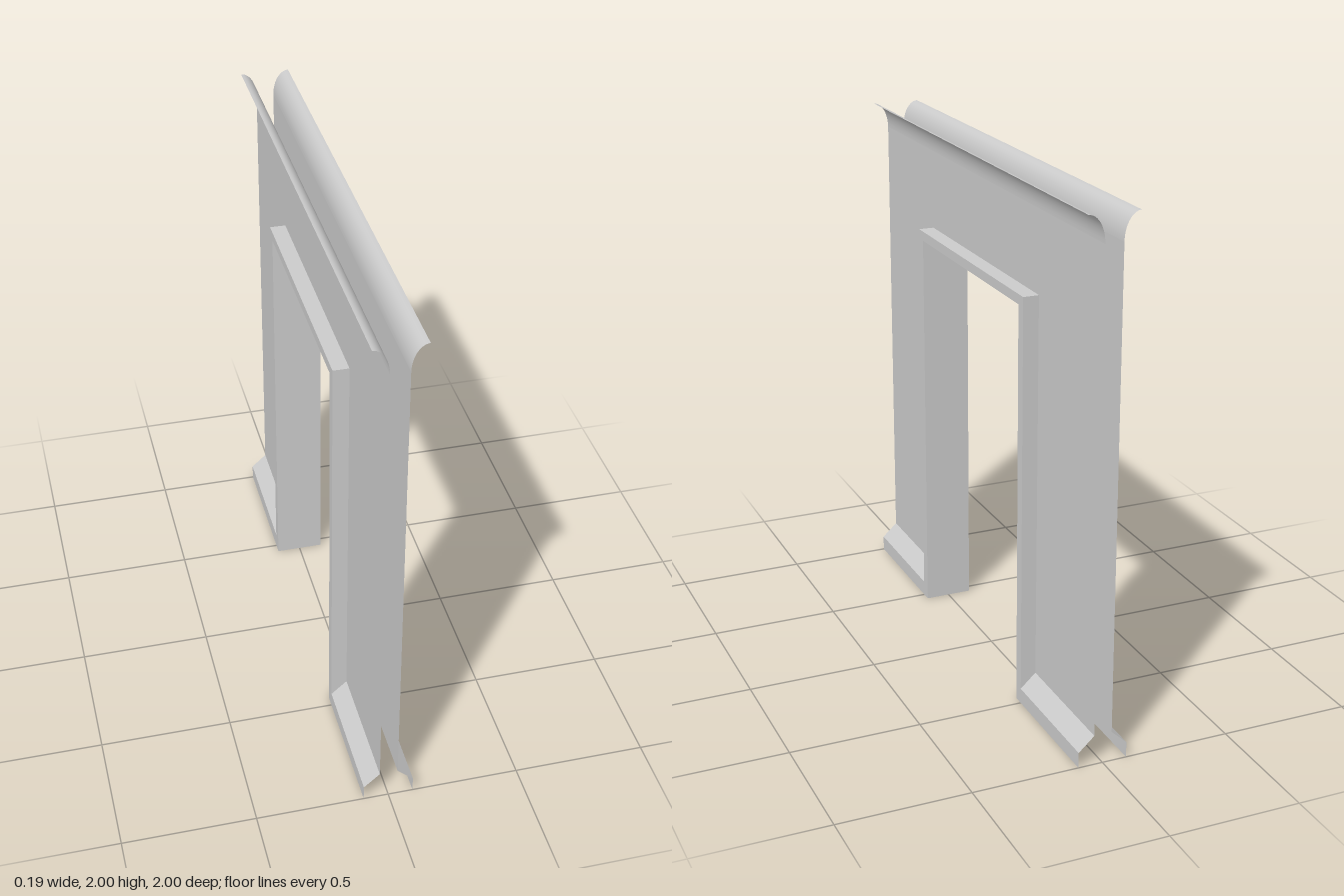
import * as THREE from 'three';

const IN = 0.034, OUT = 0.094;          // x of wall sheet and of trim face
const OPEN_Z = 0.46, OPEN_Y = 1.555;    // clear opening
const FRAME_Z = 0.5, FRAME_Y = 1.592;   // outer edge of door frame
const SKIRT_LOW = 0.06, SKIRT_TOP = 0.115, LIP_Y = 1.9;

const material = new THREE.MeshStandardMaterial({ color: 0xcccccc, side: THREE.DoubleSide });

function mesh(name, geometry) {
  const m = new THREE.Mesh(geometry, material);
  m.name = name;
  return m;
}

// Surface between two rows of [x, y, z] points; smooth or creased at each point
function ribbon(a, b, smooth = false) {
  const index = [];
  const n = a.length;
  for (let i = 0; i < n - 1; i++) index.push(i, i + 1, n + i + 1, i, n + i + 1, n + i);
  let g = new THREE.BufferGeometry();
  g.setAttribute('position', new THREE.Float32BufferAttribute([...a, ...b].flat(), 3));
  g.setIndex(index);
  if (!smooth) g = g.toNonIndexed();
  g.computeVertexNormals();
  return g;
}

// Flat sheet from [z, y] corners, facing +x at the given x
function sheet(corners, x) {
  const shape = new THREE.Shape(corners.map(([z, y]) => new THREE.Vector2(-z, y)));
  return new THREE.ShapeGeometry(shape).rotateY(Math.PI / 2).translate(x, 0, 0);
}

// Doorway outline in [z, y], from one foot over the top to the other
const arch = (z, y, foot) => [[-z, foot], [-z, y], [z, y], [z, foot]];

function createSide() {
  const side = new THREE.Group();
  side.name = 'wallSide';

  // Wall sheet around the doorway
  side.add(mesh('wallPanel', sheet(
    [...arch(1, LIP_Y, SKIRT_TOP), ...arch(FRAME_Z, FRAME_Y, SKIRT_TOP).reverse()], IN)));

  // Cove flaring outward along the top
  const cove = [];
  for (let i = 0; i <= 12; i++) {
    const t = (i / 12) * Math.PI / 2;
    cove.push([OUT - (OUT - IN) * Math.cos(t), LIP_Y + (2 - LIP_Y) * Math.sin(t)]);
  }
  side.add(mesh('topCove', ribbon(
    cove.map(([x, y]) => [x, y, 1]), cove.map(([x, y]) => [x, y, -1]), true)));

  // Skirting on both sides of the doorway: upright face and sloped top
  const skirt = [[OUT, 0], [OUT, SKIRT_LOW], [IN, SKIRT_TOP]];
  for (const [z0, z1] of [[1, FRAME_Z], [-FRAME_Z, -1]]) {
    side.add(mesh('skirting', ribbon(
      skirt.map(([x, y]) => [x, y, z0]), skirt.map(([x, y]) => [x, y, z1]))));
  }

  // Door frame: face and outer edge, the edge ending on the skirting slope
  side.add(mesh('frameFace', sheet(
    [...arch(FRAME_Z, FRAME_Y, 0), ...arch(OPEN_Z, OPEN_Y, 0).reverse()], OUT)));
  side.add(mesh('frameEdge', ribbon(
    arch(FRAME_Z, FRAME_Y, SKIRT_LOW).map(([z, y]) => [OUT, y, z]),
    arch(FRAME_Z, FRAME_Y, SKIRT_TOP).map(([z, y]) => [IN, y, z]))));
  return side;
}

export function createModel() {
  const model = new THREE.Group();
  model.name = 'doorwayWall';

  const left = createSide();
  const right = createSide();
  right.rotation.y = Math.PI;
  model.add(left, right);

  // Lining through the opening
  const lining = arch(OPEN_Z, OPEN_Y, 0);
  model.add(mesh('doorLining', ribbon(
    lining.map(([z, y]) => [-OUT, y, z]), lining.map(([z, y]) => [OUT, y, z]))));
  return model;
}
